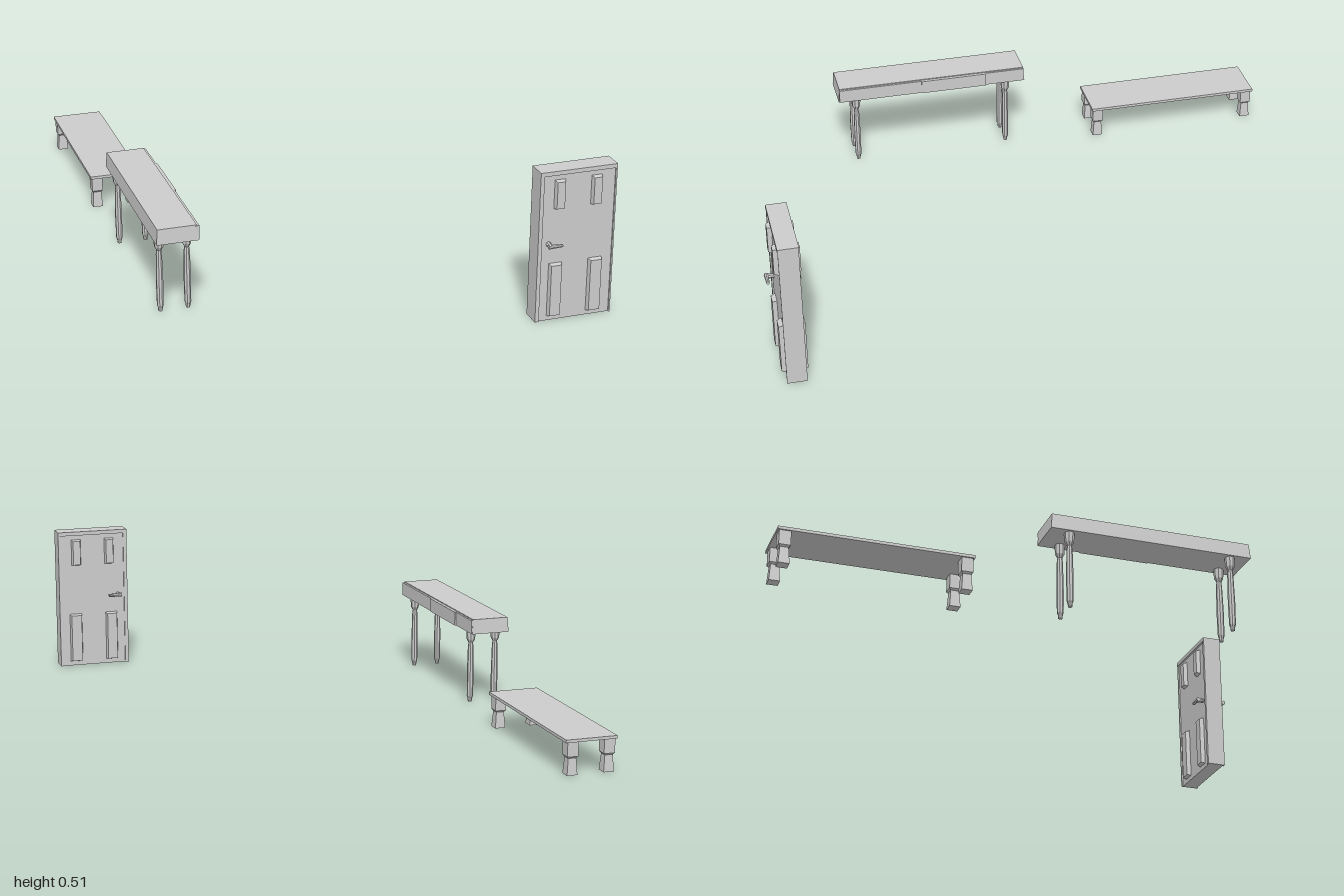
import * as THREE from 'three';

const grey = new THREE.MeshStandardMaterial({ color: 0xcccccc, flatShading: true });

function add(parent, name, geometry, x = 0, y = 0, z = 0) {
  const mesh = new THREE.Mesh(geometry, grey);
  mesh.name = name;
  mesh.position.set(x, y, z);
  parent.add(mesh);
  return mesh;
}

// Box whose face on the positive side of one axis is drawn in by a margin
function bevelBox(w, h, d, axis, inset) {
  const geo = new THREE.BoxGeometry(w, h, d);
  const p = geo.attributes.position;
  for (let i = 0; i < p.count; i++) {
    if (p['get' + axis](i) <= 0) continue;
    for (const a of ['X', 'Y', 'Z']) {
      if (a === axis) continue;
      const v = p['get' + a](i);
      p['set' + a](i, v - Math.sign(v) * inset);
    }
  }
  geo.computeVertexNormals();
  return geo;
}

// Turned or square leg from [radius, height] pairs, bottom to top
function legGeometry(profile, sides) {
  const points = profile.map(([r, y]) => new THREE.Vector2(r, y));
  return new THREE.LatheGeometry(points, sides, Math.PI / sides);
}

function addLegs(parent, geometry, xs, zs) {
  for (const x of xs) for (const z of zs) add(parent, 'leg', geometry, x, 0, z);
}

function lowTable() {
  const table = new THREE.Group();
  table.name = 'lowTable';
  add(table, 'tableTop', new THREE.BoxGeometry(0.178, 0.01, 0.63), -0.61, 0.115, -0.685);
  const k = Math.SQRT2; // half width to corner radius
  const leg = legGeometry([
    [0, 0], [0.018 * k, 0], [0.014 * k, 0.052], [0.014 * k, 0.056],
    [0.019 * k, 0.062], [0.019 * k, 0.111], [0, 0.111],
  ], 4);
  addLegs(table, leg, [-0.675, -0.548], [-0.394, -0.976]);
  return table;
}

function tallTable() {
  const table = new THREE.Group();
  table.name = 'tallTable';
  add(table, 'tableBody', bevelBox(0.138, 0.052, 0.694, 'Y', 0.004), -0.63, 0.287, 0.23);
  // Three front sections, the middle one slightly proud
  const fronts = [[-0.114, 0.03, -0.558], [0.03, 0.27, -0.553], [0.27, 0.574, -0.557]];
  for (const [z0, z1, x] of fronts) {
    add(table, 'drawerFront', new THREE.BoxGeometry(0.012, 0.048, z1 - z0),
      x - 0.006, 0.286, (z0 + z1) / 2);
  }
  const leg = legGeometry([
    [0, 0], [0.007, 0], [0.008, 0.012], [0.011, 0.02], [0.012, 0.1], [0.01, 0.2],
    [0.008, 0.215], [0.015, 0.228], [0.017, 0.262], [0, 0.262],
  ], 8);
  addLegs(table, leg, [-0.676, -0.584], [0.511, -0.048]);
  return table;
}

function door() {
  const group = new THREE.Group();
  group.name = 'door';
  group.position.set(0.567, 0, 0.936);
  add(group, 'doorSlab', new THREE.BoxGeometry(0.25, 0.502, 0.056), 0.003, 0.251, 0);
  // Frame around the slab
  add(group, 'frameLeftPost', new THREE.BoxGeometry(0.005, 0.503, 0.066), 0.1285, 0.2515, 0);
  add(group, 'frameRightPost', new THREE.BoxGeometry(0.013, 0.503, 0.066), -0.1245, 0.2515, 0);
  add(group, 'frameTop', new THREE.BoxGeometry(0.262, 0.014, 0.068), 0, 0.508, 0);

  // Raised panels and a lever handle, repeated on both faces
  const panels = [
    [-0.068, 0.1075, 0.046, 0.185], [0.069, 0.1075, 0.048, 0.185],
    [-0.063, 0.435, 0.037, 0.1], [0.063, 0.435, 0.037, 0.1],
  ];
  for (const side of [1, -1]) {
    for (const [x, y, w, h] of panels) {
      const panel = add(group, 'raisedPanel', bevelBox(w, h, 0.018, 'Z', 0.005), x, y, side * 0.034);
      if (side < 0) panel.rotation.y = Math.PI;
    }
    const spindle = new THREE.CylinderGeometry(0.007, 0.009, 0.03, 8).rotateX(Math.PI / 2);
    add(group, 'handleSpindle', spindle, -0.094, 0.267, side * 0.038);
    const lever = new THREE.CylinderGeometry(0.0055, 0.0075, 0.048, 8).rotateZ(-Math.PI / 2);
    add(group, 'handleLever', lever, -0.079, 0.267, side * 0.051);
  }
  return group;
}

export function createModel() {
  const model = new THREE.Group();
  model.name = 'furnitureSet';
  model.add(lowTable(), tallTable(), door());
  return model;
}
